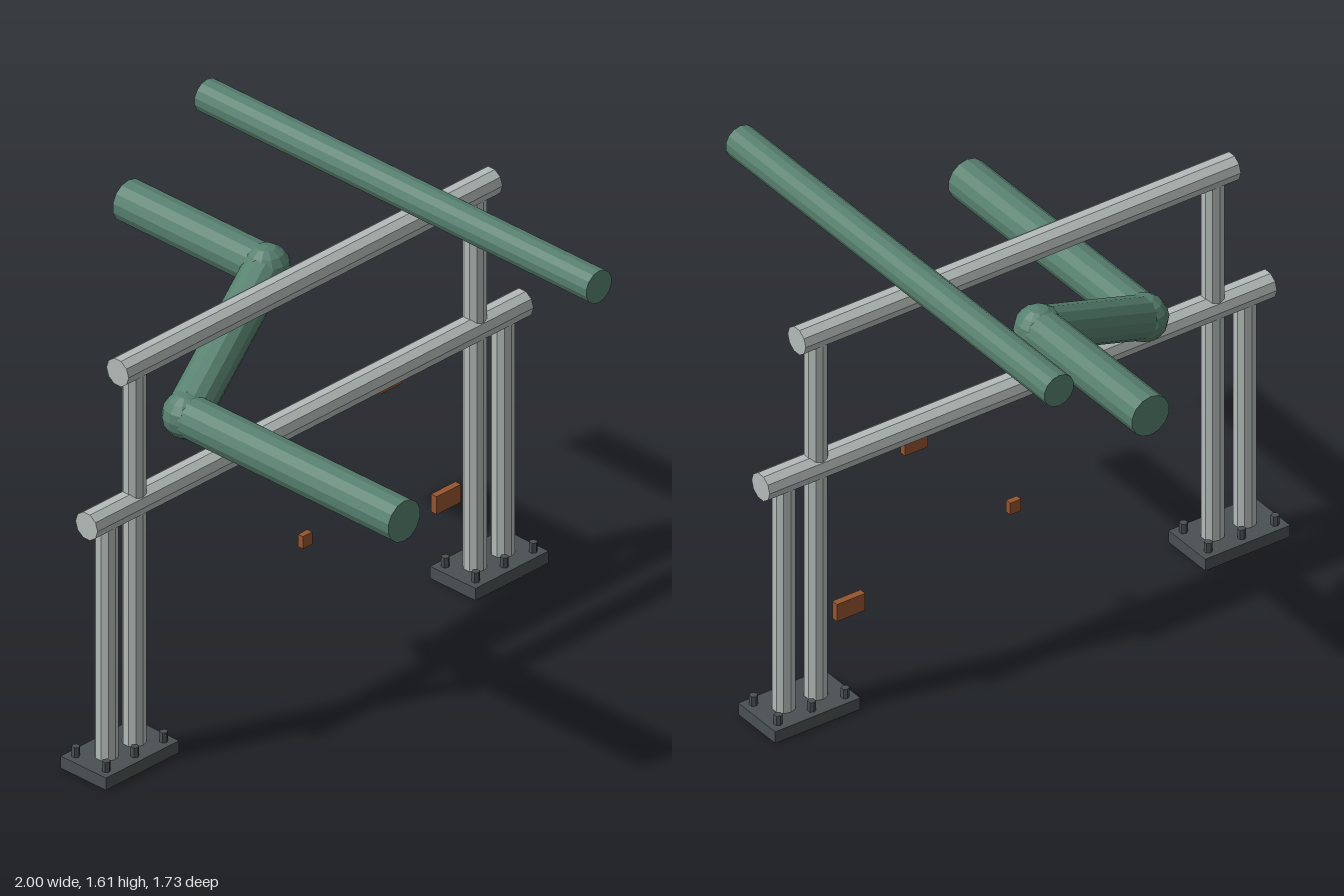
import * as THREE from 'three';

const material = (color) => new THREE.MeshStandardMaterial({ color, flatShading: true });

export function createModel() {
  const group = new THREE.Group();
  const steel = material(0xb4bcba);
  const green = material(0x567f6e);
  const dark = material(0x4a5052);
  const rust = material(0x96552f);

  function add(name, geometry, mat, x, y, z) {
    const mesh = new THREE.Mesh(geometry, mat);
    mesh.name = name;
    mesh.position.set(x, y, z);
    group.add(mesh);
    return mesh;
  }

  // Round bar between two points
  function bar(name, from, to, radius, sides, mat) {
    const a = new THREE.Vector3(...from);
    const b = new THREE.Vector3(...to);
    const dir = b.clone().sub(a);
    const mid = a.clone().add(b).multiplyScalar(0.5);
    const mesh = add(name, new THREE.CylinderGeometry(radius, radius, dir.length(), sides), mat, mid.x, mid.y, mid.z);
    mesh.quaternion.setFromUnitVectors(new THREE.Vector3(0, 1, 0), dir.normalize());
  }

  // Horizontal rails
  bar('upperRail', [-0.845, 1.42, 0], [0.845, 1.42, 0], 0.049, 10, steel);
  bar('lowerRail', [-0.985, 0.917, 0], [0.985, 0.917, 0], 0.049, 10, steel);

  // Paired posts on bolted base plates
  for (const [side, s] of [['right', -1], ['left', 1]]) {
    bar(side + 'InnerPost', [s * 0.77, 0.03, 0], [s * 0.77, 1.4, 0], 0.039, 10, steel);
    bar(side + 'OuterPost', [s * 0.895, 0.03, 0], [s * 0.895, 0.9, 0], 0.039, 10, steel);
    add(side + 'BasePlate', new THREE.BoxGeometry(0.33, 0.044, 0.2), dark, s * 0.835, 0.022, 0);
    for (const x of [0.705, 0.835, 0.965]) {
      for (const z of [-0.067, 0.067]) {
        add(side + 'Bolt', new THREE.CylinderGeometry(0.014, 0.014, 0.04, 6), dark, s * x, 0.06, z);
      }
    }
  }

  // Straight pipe above the frame
  bar('straightPipe', [0.445, 1.548, -0.865], [0.445, 1.548, 0.865], 0.058, 14, green);

  // Bent pipe with a ball at each elbow
  const path = [[-0.435, 1.058, 0.865], [-0.435, 1.058, -0.095], [0.09, 1.312, -0.257], [0.09, 1.312, -0.865]];
  for (let i = 0; i < 3; i++) bar('bentPipeSection', path[i], path[i + 1], 0.073, 14, green);
  for (const p of path.slice(1, 3)) add('pipeElbow', new THREE.SphereGeometry(0.081, 12, 8), green, ...p);

  // Small tags
  add('railTag', new THREE.BoxGeometry(0.09, 0.05, 0.025), rust, 0.403, 0.866, -0.02);
  add('centreTag', new THREE.BoxGeometry(0.042, 0.045, 0.022), rust, 0.003, 0.46, 0);
  add('postTag', new THREE.BoxGeometry(0.11, 0.065, 0.025), rust, 0.65, 0.338, -0.01);

  return group;
}
